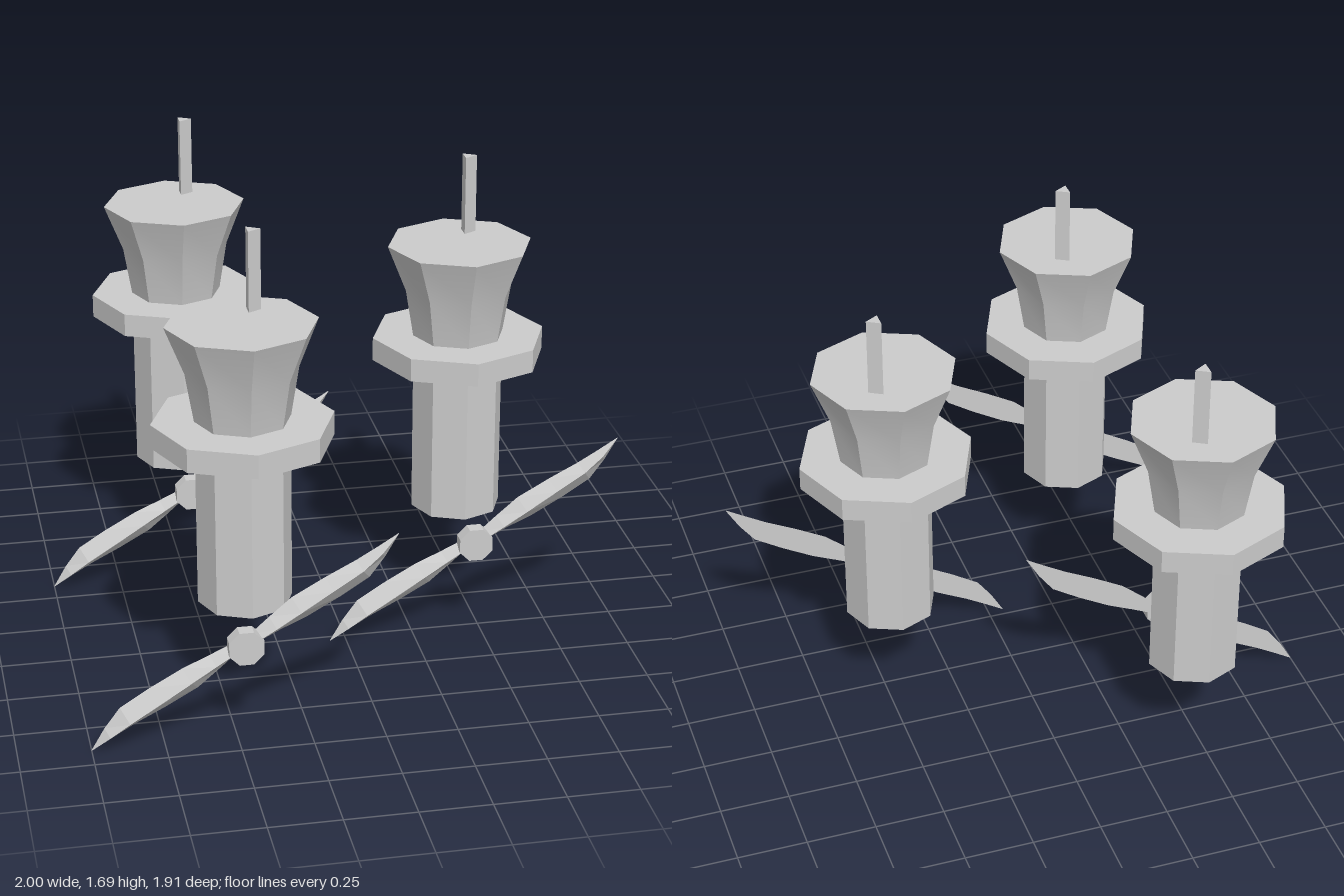
import * as THREE from 'three';
import { toCreasedNormals } from 'three/addons/utils/BufferGeometryUtils.js';

const flat = new THREE.MeshStandardMaterial({ color: 0xcccccc, flatShading: true });
const smooth = new THREE.MeshStandardMaterial({ color: 0xcccccc });

function add(parent, name, geometry, material = flat) {
  const mesh = new THREE.Mesh(geometry, material);
  mesh.name = name;
  parent.add(mesh);
  return mesh;
}

// Upright prism between two heights
function prism(radius, y0, y1, sides) {
  return new THREE.CylinderGeometry(radius, radius, y1 - y0, sides).translate(0, (y0 + y1) / 2, 0);
}

// Blade along +x: flat back, ridged front, tapering to a swept tip
function bladeGeometry() {
  // distance, upper edge, lower edge, ridge offset, ridge height
  const stations = [
    [0.03, 0.014, -0.024, -0.004, 0.042],
    [0.12, 0.026, -0.038, -0.008, 0.045],
    [0.22, 0.037, -0.056, -0.011, 0.046],
    [0.35, 0.026, -0.067, -0.014, 0.046],
    [0.47, 0.011, -0.071, -0.018, 0.045],
    [0.555, 0.005, -0.041, -0.012, 0.033],
    [0.638, 0.001, -0.001, 0, 0.003],
  ];
  const positions = [], index = [];
  for (const [s, up, low, ridge, height] of stations) {
    positions.push(s, up, 0, s, ridge, height, s, low, 0);
  }
  const last = (stations.length - 1) * 3;
  for (let i = 0; i < last; i += 3) {
    for (let k = 0; k < 3; k++) {
      const a = i + k, b = i + (k + 1) % 3;
      index.push(a, b, b + 3, a, b + 3, a + 3);
    }
  }
  index.push(0, 2, 1, last, last + 1, last + 2);
  const geometry = new THREE.BufferGeometry();
  geometry.setAttribute('position', new THREE.Float32BufferAttribute(positions, 3));
  geometry.setIndex(index);
  geometry.computeVertexNormals();
  return geometry;
}

// Column with flange, flared cup and a thin rod on top
function createTower() {
  const tower = new THREE.Group();
  tower.name = 'tower';
  add(tower, 'column', prism(0.165, 0.38, 0.97, 8));
  add(tower, 'flange', prism(0.315, 0.97, 1.055, 8));
  const profile = [[0, 1.055], [0.166, 1.055], [0.195, 1.23], [0.262, 1.4], [0, 1.4]]
    .map(([r, y]) => new THREE.Vector2(r, y));
  const cup = toCreasedNormals(new THREE.LatheGeometry(profile, 8), Math.PI / 6);
  add(tower, 'flaredCup', cup, smooth);
  const rod = add(tower, 'rod', prism(0.031, 1.4, 1.687, 3));
  rod.rotation.y = Math.PI / 2;
  rod.position.set(0.054, 0, -0.11);
  return tower;
}

// Octagonal hub with two opposite blades
function createPropeller() {
  const propeller = new THREE.Group();
  propeller.name = 'propeller';
  const hub = new THREE.CylinderGeometry(0.065, 0.065, 0.05, 8)
    .rotateY(Math.PI / 8).rotateX(Math.PI / 2).translate(0, 0, 0.025);
  add(propeller, 'hub', hub);
  const blade = bladeGeometry();
  for (const turn of [0, Math.PI]) {
    add(propeller, 'blade', blade).rotation.z = THREE.MathUtils.degToRad(34.2) + turn;
  }
  return propeller;
}

export function createModel() {
  const model = new THREE.Group();
  model.name = 'propellerTowers';
  // tower x, tower z, propeller x, propeller back z
  const layout = [
    [-0.472, -0.638, -0.472, -0.346],
    [0.47, -0.013, 0.47, 0.279],
    [-0.422, 0.613, -0.472, 0.904],
  ];
  for (const [tx, tz, px, pz] of layout) {
    const tower = createTower();
    tower.position.set(tx, 0, tz);
    const propeller = createPropeller();
    propeller.position.set(px, 0.36, pz);
    model.add(tower, propeller);
  }
  return model;
}
